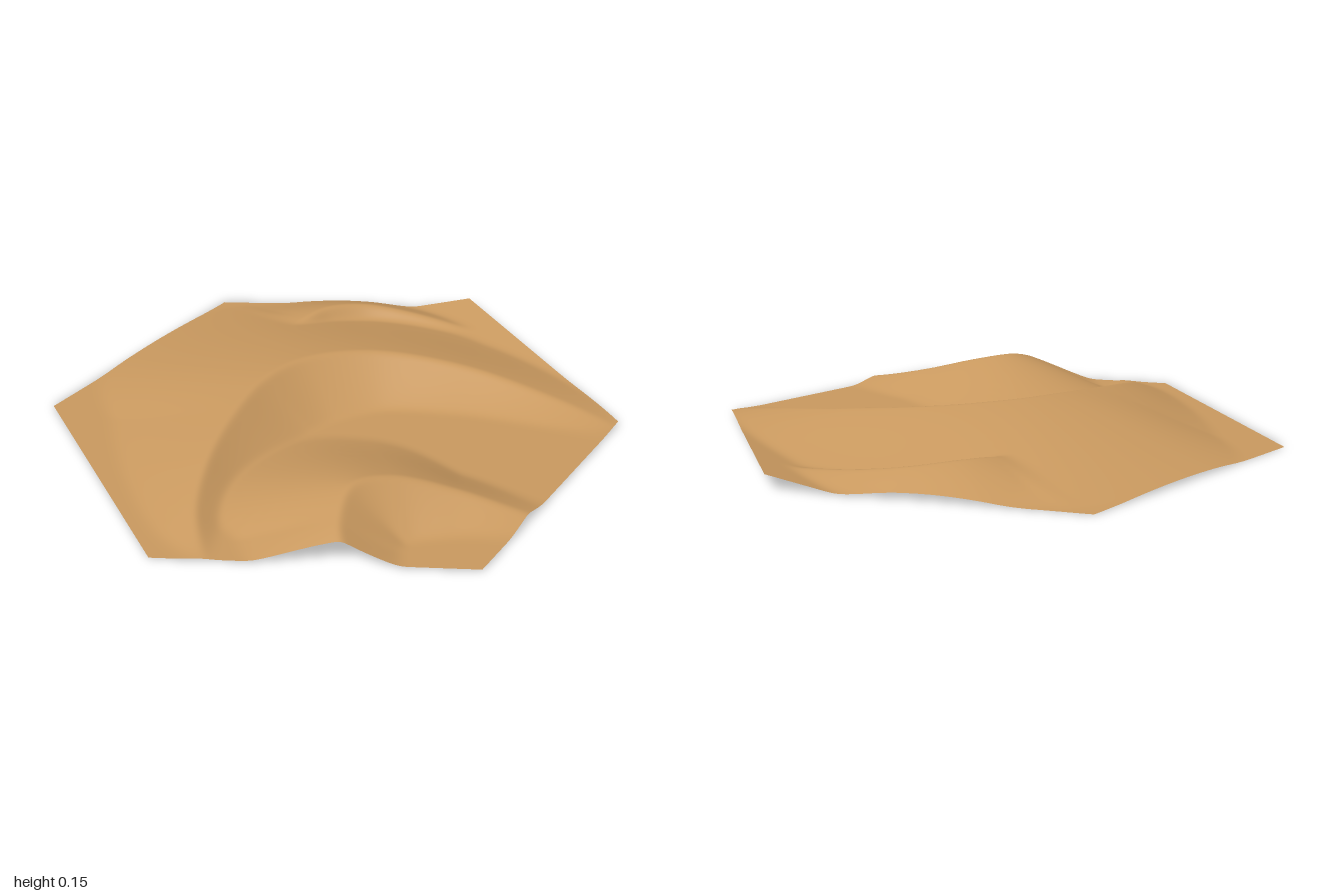
import * as THREE from 'three';

// Crest control points from the north-east arm round to the south arm:
// x, z, height, slip face width, windward width
const DUNES = {
  main: [
    [0.92, -0.47, 0, 0.1, 0.18], [0.65, -0.46, 0.05, 0.15, 0.27], [0.3, -0.41, 0.102, 0.2, 0.4],
    [0, -0.27, 0.138, 0.22, 0.6], [-0.16, -0.07, 0.153, 0.23, 0.82], [-0.2, 0.12, 0.15, 0.22, 0.76],
    [-0.17, 0.35, 0.126, 0.19, 0.5], [-0.1, 0.58, 0.092, 0.14, 0.31], [0, 0.77, 0.05, 0.1, 0.17],
    [0.13, 0.9, 0.012, 0.06, 0.08], [0.2, 0.95, 0, 0.04, 0.05],
  ],
  front: [
    [1.1, 0.15, 0, 0.1, 0.1], [0.87, 0.2, 0.03, 0.13, 0.13], [0.65, 0.27, 0.08, 0.17, 0.22],
    [0.48, 0.38, 0.13, 0.2, 0.45], [0.41, 0.5, 0.144, 0.21, 0.54], [0.45, 0.64, 0.114, 0.21, 0.33],
    [0.53, 0.74, 0.08, 0.19, 0.23], [0.65, 0.86, 0.03, 0.12, 0.18], [0.8, 0.97, 0, 0.06, 0.1],
  ],
  back: [
    [0.22, -0.83, 0, 0.05, 0.08], [0.05, -0.81, 0.022, 0.06, 0.1], [-0.15, -0.76, 0.05, 0.08, 0.14],
    [-0.3, -0.68, 0.075, 0.09, 0.2], [-0.39, -0.56, 0.088, 0.09, 0.28], [-0.42, -0.45, 0.08, 0.09, 0.33],
    [-0.44, -0.36, 0.058, 0.09, 0.33], [-0.45, -0.27, 0.025, 0.08, 0.25], [-0.45, -0.18, 0, 0.06, 0.15],
  ],
};

// Samples a crest into points of [x, z, height, slip width, windward width]
function sampleCrest(points, count = 240) {
  const shape = new THREE.CatmullRomCurve3(points.map(p => new THREE.Vector3(p[0], p[2], p[1])));
  const widths = new THREE.CatmullRomCurve3(points.map(p => new THREE.Vector3(p[3], p[4], 0)));
  return Array.from({ length: count + 1 }, (_, i) => {
    const s = shape.getPoint(i / count), w = widths.getPoint(i / count);
    return [s.x, s.z, Math.max(s.y, 0), w.x, w.y];
  });
}

// Height of one crescent dune: long windward rise, steep slip face inside the curve
function duneHeight(crest, x, z) {
  let best = Infinity, height = 0;
  for (let i = 0; i < crest.length - 1; i++) {
    const a = crest[i], b = crest[i + 1];
    const dx = b[0] - a[0], dz = b[1] - a[1];
    const t = THREE.MathUtils.clamp(((x - a[0]) * dx + (z - a[1]) * dz) / (dx * dx + dz * dz), 0, 1);
    const ox = x - a[0] - t * dx, oz = z - a[1] - t * dz;
    const d = Math.sqrt(ox * ox + oz * oz);
    if (d >= best) continue;
    best = d;
    const mix = k => a[k] + (b[k] - a[k]) * t;
    const slip = dx * oz - dz * ox < 0;
    const u = Math.max(0, 1 - d / mix(slip ? 3 : 4));
    height = mix(2) * (slip ? Math.pow(u, 1.2) : 0.75 * u + 0.25 * u * u * (3 - 2 * u));
  }
  return height;
}

// Maximum with a softened valley
function softMax(a, b, k = 0.01) {
  const h = Math.max(k - Math.abs(a - b), 0);
  return Math.max(a, b) + h * h / (4 * k);
}

// Hexagonal sheet of triangles, lifted by the dune heights
function duneSheet(n) {
  const crests = Object.values(DUNES).map(p => sampleCrest(p));
  const positions = [], index = [], cells = [], ids = new Map();
  const id = (q, r) => ids.get(q * 1000 + r);
  for (let q = -n; q <= n; q++) {
    for (let r = Math.max(-n, -n - q); r <= Math.min(n, n - q); r++) {
      const x = q / n * Math.sqrt(3) / 2, z = (r + q / 2) / n;
      // bank climbing to the north-east edge, highest at the back corner
      const bank = 0.23 * Math.max(0, 0.4 * (x + 0.2) - 1.07 * (z + 0.87));
      const y = crests.reduce((h, c) => softMax(h, duneHeight(c, x, z)), bank);
      ids.set(q * 1000 + r, cells.length);
      cells.push([q, r]);
      positions.push(x, y + 0.004 + 0.004 * x, z);
    }
  }

  // wind-worn smoothing: average opposite neighbours, so edges keep their line
  const axes = [[1, 0], [0, 1], [1, -1]];
  for (let pass = 0; pass < 3; pass++) {
    const old = positions.slice();
    cells.forEach(([q, r], i) => {
      let sum = old[3 * i + 1] * 2, count = 2;
      for (const [dq, dr] of axes) {
        const a = id(q + dq, r + dr), b = id(q - dq, r - dr);
        if (a === undefined || b === undefined) continue;
        sum += old[3 * a + 1] + old[3 * b + 1];
        count += 2;
      }
      positions[3 * i + 1] = sum / count;
    });
  }

  for (let q = -n; q <= n; q++) {
    for (let r = -n; r <= n; r++) {
      const p = id(q, r), a = id(q + 1, r), b = id(q, r + 1), c = id(q + 1, r + 1);
      if (a === undefined || b === undefined) continue;
      if (p !== undefined) index.push(p, b, a);
      if (c !== undefined) index.push(a, b, c);
    }
  }
  const geometry = new THREE.BufferGeometry();
  geometry.setAttribute('position', new THREE.Float32BufferAttribute(positions, 3));
  geometry.setIndex(index);
  geometry.computeVertexNormals();
  return geometry;
}

export function createModel() {
  const sand = new THREE.MeshStandardMaterial({ color: 0xc9995f, side: THREE.DoubleSide });
  sand.name = 'sand';
  const dunes = new THREE.Mesh(duneSheet(110), sand);
  dunes.name = 'sandDunes';
  const group = new THREE.Group();
  group.name = 'desertTile';
  group.add(dunes);
  return group;
}
